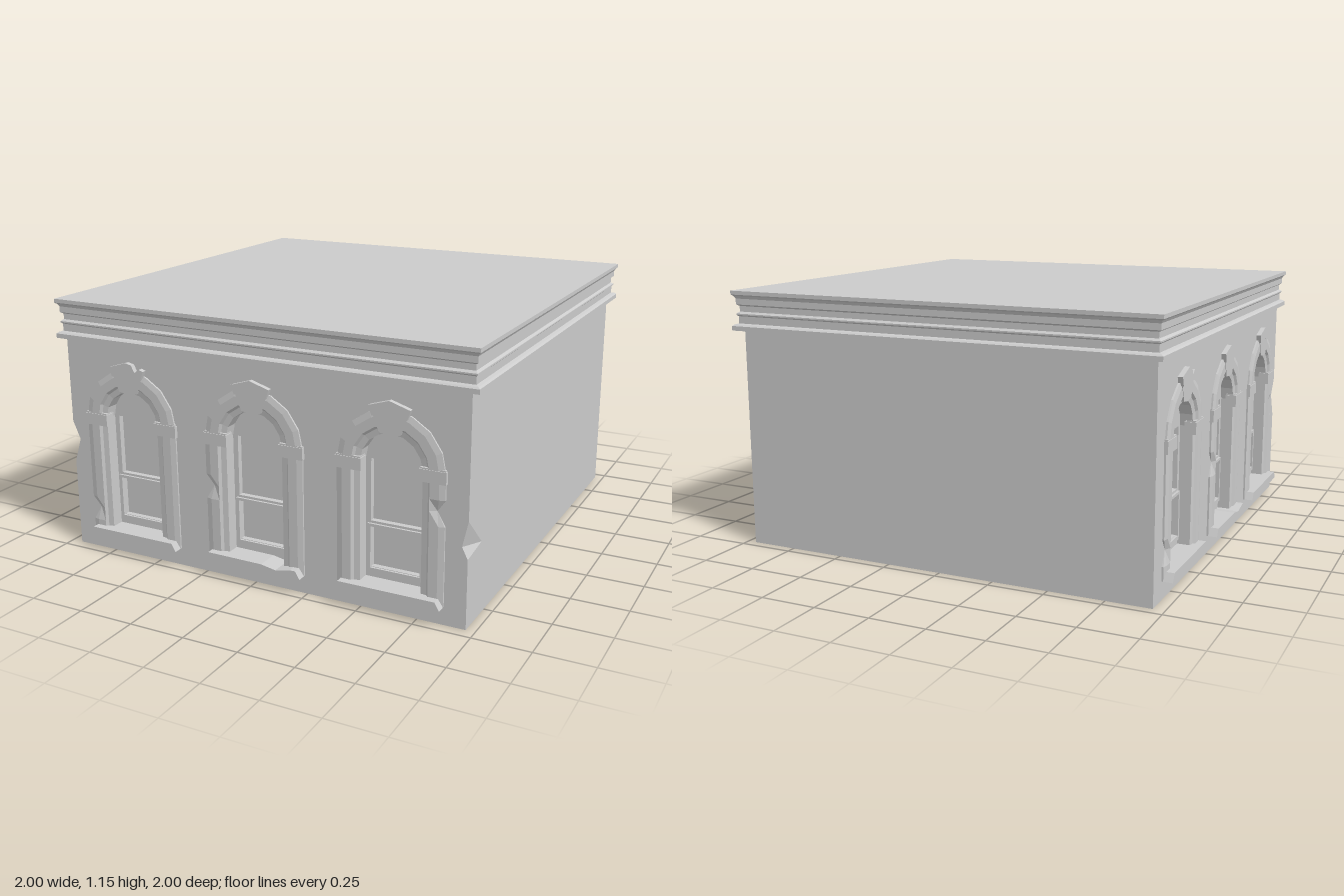
import * as THREE from 'three';

const mat = new THREE.MeshStandardMaterial({ color: 0xcccccc, flatShading: true });
const thin = new THREE.MeshStandardMaterial({ color: 0xcccccc, flatShading: true, side: THREE.DoubleSide });
const SPRING = 0.63, SILL = 0.08, ARCH_STEPS = 8, RECESS = -0.08;

function add(parent, name, geometry, material = mat) {
  const mesh = new THREE.Mesh(geometry, material);
  mesh.name = name;
  parent.add(mesh);
  return mesh;
}

const polygon = (pts) => new THREE.Shape(pts.map(([x, y]) => new THREE.Vector2(x, y)));

// Extrude an outline between two depths
function slab(pts, z0, z1, holes = []) {
  const shape = polygon(pts);
  shape.holes = holes.map(polygon);
  return new THREE.ExtrudeGeometry(shape, { depth: z1 - z0, bevelEnabled: false }).translate(0, 0, z0);
}

const rect = (x, y0, y1) => [[-x, y0], [x, y0], [x, y1], [-x, y1]];

// Arc points from left to right over the spring line
function arc(r, cx = 0) {
  return Array.from({ length: ARCH_STEPS + 1 }, (_, i) => {
    const a = Math.PI * (1 - i / ARCH_STEPS);
    return [cx + r * Math.cos(a), SPRING + r * Math.sin(a)];
  });
}

const archOutline = (r, cx = 0) => [[cx - r, SILL], ...arc(r, cx), [cx + r, SILL]];

// Moulded surround: a profile of (distance from axis, depth) swept up, over and down
function surroundGeometry(chipSide, chipY) {
  const profile = [[0.235, 0], [0.235, 0.008], [0.21, 0.014], [0.17, 0.014],
    [0.16, 0.004], [0.135, 0], [0.135, RECESS]];
  const jamb = (side) => [SILL, chipY - 0.06, chipY, chipY + 0.05]
    .map((y) => ({ side, y, chipped: side === chipSide && y === chipY }));
  const stations = [
    ...jamb(-1),
    ...arc(1).map(([c, s]) => ({ c, s: s - SPRING })),
    ...jamb(1).reverse(),
  ];
  const pos = [], idx = [], n = profile.length;
  stations.forEach((st, i) => profile.forEach(([u, d], j) => {
    if (st.side) {
      const hit = st.chipped && u > 0.2;
      pos.push(st.side * (hit ? 0.2 : u), st.y, hit ? 0 : d);
    } else pos.push(st.c * u, SPRING + st.s * u, d);
    if (i + 1 < stations.length && j + 1 < n) {
      const a = i * n + j;
      idx.push(a, a + 1, a + n, a + 1, a + n + 1, a + n);
    }
  }));
  const g = new THREE.BufferGeometry();
  g.setAttribute('position', new THREE.Float32BufferAttribute(pos, 3));
  g.setIndex(idx);
  g.computeVertexNormals();
  return g;
}

function createWindow({ x, chipSide, chipY, chippedSill, chippedKey }) {
  const w = new THREE.Group();
  w.name = 'archedWindow';
  w.position.x = x;
  add(w, 'surround', surroundGeometry(chipSide, chipY), thin);
  add(w, 'glass', new THREE.ShapeGeometry(polygon(archOutline(0.137))).translate(0, 0, RECESS));

  // Sash with two panes, a stepped lower sash and the solid arch head
  add(w, 'sash', slab(rect(0.136, 0.1, SPRING + 0.005), RECESS, -0.055,
    [rect(0.112, 0.16, 0.342), rect(0.112, 0.362, SPRING)]));
  add(w, 'lowerSash', slab(rect(0.124, 0.14, 0.352), RECESS, -0.045, [rect(0.11, 0.158, 0.34)]));
  add(w, 'archHead', slab(arc(0.136).reverse(), RECESS, -0.055));

  // Sill
  const chip = chippedSill ? [[0.19, 0.115], [0.12, 0.1], [0.05, 0.113]] : [];
  add(w, 'sill', slab([[-0.235, SILL], [0.235, SILL], [0.215, 0.115], ...chip, [-0.215, 0.115]], RECESS, 0.048));

  // Imposts where the arch springs
  for (const s of [-1, 1]) {
    const block = add(w, 'impost', new THREE.BoxGeometry(0.115, 0.052, 0.05));
    block.position.set(s * 0.1825, 0.622, -0.008);
    const cap = add(w, 'impostCap', new THREE.BoxGeometry(0.107, 0.008, 0.045));
    cap.position.set(s * 0.1825, 0.65, -0.009);
  }

  // Keystone: tapered block under a peaked cap
  add(w, 'keystone', slab([[-0.046, 0.768], [0, 0.762], [0.046, 0.768], [0.076, 0.845], [0, 0.855], [-0.076, 0.845]],
    -0.06, 0.016));
  const nick = chippedKey ? [[0.07, 0.882], [0.045, 0.865], [0.03, 0.896]] : [];
  add(w, 'keystoneCap', slab([[-0.076, 0.835], [0, 0.848], [0.076, 0.835], [0.09, 0.875], ...nick,
    [0, 0.903], [-0.09, 0.875]], -0.02, 0.022));
  return w;
}

// Wall outline with optional corner notches [yLow, yDeep, yHigh, inset]
function wallGeometry(x0, x1, left, right, centres = []) {
  const pts = [[x0, 0], [x1, 0]];
  if (right) pts.push([x1, right[0]], [x1 - right[3], right[1]], [x1, right[2]]);
  pts.push([x1, 1], [x0, 1]);
  if (left) pts.push([x0, left[2]], [x0 + left[3], left[1]], [x0, left[0]]);
  const shape = polygon(pts);
  shape.holes = centres.map((c) => polygon(archOutline(0.165, c)));
  return new THREE.ShapeGeometry(shape);
}

// Two facets closing a broken corner
function chipGeometry(top, bottom, deepA, deepB) {
  const g = new THREE.BufferGeometry();
  g.setAttribute('position', new THREE.Float32BufferAttribute(
    [top, deepA, deepB, deepA, bottom, deepB].flat(), 3));
  g.computeVertexNormals();
  return g;
}

export function createModel() {
  const model = new THREE.Group();
  model.name = 'building';
  const L = -0.95, R = 0.96, F = 0.95, B = -0.96;

  const windows = [
    { x: -0.62, chipSide: -1, chipY: 0.2, chippedKey: true },
    { x: 0.003, chipSide: -1, chipY: 0.41, chippedSill: true },
    { x: 0.63, chipSide: 1, chipY: 0.48 },
  ];
  const centres = windows.map((w) => w.x);

  // Two windowed facades
  const facades = [
    { name: 'frontFacade', p: [0, 0, F], ry: 0, left: [0.4, 0.51, 0.59, 0.035], right: [0.3, 0.35, 0.46, 0.025] },
    { name: 'rightFacade', p: [L, 0, -0.01], ry: -Math.PI / 2, right: [0.4, 0.51, 0.59, 0.05] },
  ];
  for (const f of facades) {
    const g = new THREE.Group();
    g.name = f.name;
    g.position.set(...f.p);
    g.rotation.y = f.ry;
    add(g, 'windowWall', wallGeometry(-0.95, 0.96, f.left, f.right, centres));
    windows.forEach((w) => g.add(createWindow(w)));
    model.add(g);
  }

  // Plain walls and base
  const side = add(model, 'leftWall', wallGeometry(-F, -B, [0.3, 0.32, 0.46, 0.15], null));
  side.position.x = R;
  side.rotation.y = Math.PI / 2;
  const back = add(model, 'backWall', wallGeometry(-R, -L));
  back.position.z = B;
  back.rotation.y = Math.PI;
  const base = add(model, 'base', new THREE.PlaneGeometry(R - L, F - B));
  base.rotation.x = Math.PI / 2;
  base.position.set((L + R) / 2, 0, (F + B) / 2);

  // Broken corners
  add(model, 'cornerChip', chipGeometry([R, 0.46, F], [R, 0.3, F], [R - 0.025, 0.35, F], [R, 0.32, F - 0.15]), thin);
  add(model, 'cornerChip', chipGeometry([L, 0.59, F], [L, 0.4, F], [L + 0.035, 0.51, F], [L, 0.51, F - 0.05]), thin);

  // Moulded cornice and flat roof: a profile turned around four sides
  const profile = [[0, 0.978], [0.99, 0.978], [0.99, 0.998], [0.982, 1.004], [0.968, 1.008], [0.968, 1.04],
    [0.975, 1.046], [0.975, 1.052], [0.964, 1.06], [0.964, 1.085], [0.975, 1.092], [0.975, 1.118],
    [0.982, 1.13], [0.99, 1.136], [0.99, 1.153], [0, 1.153]];
  const cornice = add(model, 'cornice', new THREE.LatheGeometry(
    profile.map(([r, y]) => new THREE.Vector2(r * Math.SQRT2, y)), 4, Math.PI / 4));
  cornice.position.set(0.008, 0, -0.01);
  return model;
}
